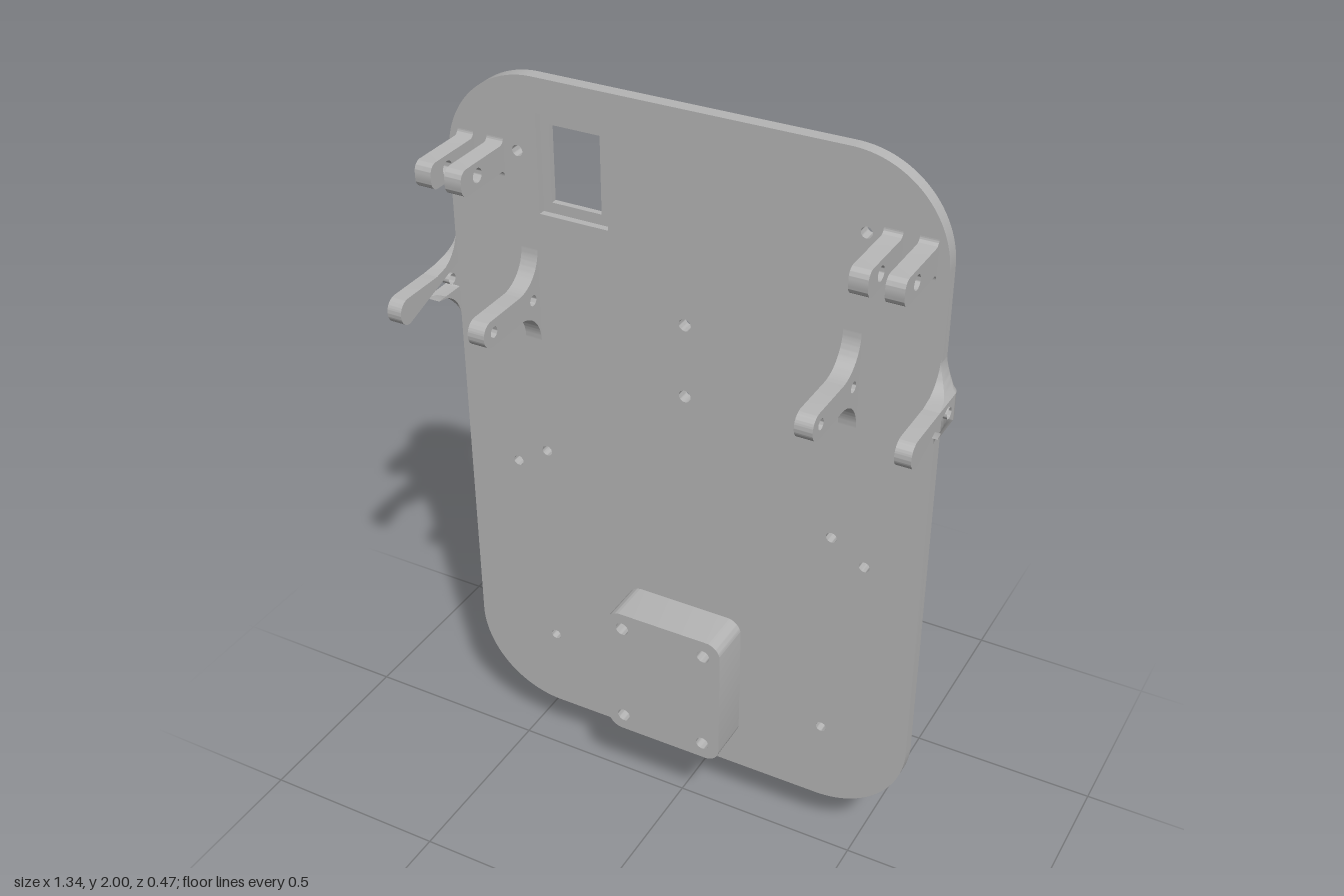
import * as THREE from 'three';
import { toCreasedNormals } from 'three/addons/utils/BufferGeometryUtils.js';

const BACK = -0.046, FRONT = -0.012, ARM_Y = 1.44, ARM_H = 0.034, FILLET = 0.09;

export function createModel() {
  const group = new THREE.Group();
  const grey = new THREE.MeshStandardMaterial({ color: 0xb4b4b4, side: THREE.DoubleSide });
  grey.name = 'plain grey';

  const add = (name, geometry) => {
    const mesh = new THREE.Mesh(toCreasedNormals(geometry, 0.6), grey);
    mesh.name = name;
    group.add(mesh);
    return mesh;
  };
  const circle = (x, y, r) => new THREE.Path().absarc(x, y, r, 0, Math.PI * 2, true);
  const rect = (x0, y0, x1, y1) => new THREE.Path([[x0, y0], [x0, y1], [x1, y1], [x1, y0], [x0, y0]]
    .map(p => new THREE.Vector2(...p)));
  const roundedRect = (x0, y0, x1, y1, r) => new THREE.Shape()
    .absarc(x1 - r, y0 + r, r, -Math.PI / 2, 0)
    .absarc(x1 - r, y1 - r, r, 0, Math.PI / 2)
    .absarc(x0 + r, y1 - r, r, Math.PI / 2, Math.PI)
    .absarc(x0 + r, y0 + r, r, Math.PI, Math.PI * 1.5);
  const extrude = (shape, depth) =>
    new THREE.ExtrudeGeometry(shape, { depth, bevelEnabled: false, curveSegments: 16 });

  // Skin between closed rings of points
  const loft = rings => {
    const n = rings[0].length, index = [];
    for (let i = 0; i < rings.length - 1; i++) for (let j = 0; j < n; j++) {
      const a = i * n + j, b = i * n + (j + 1) % n;
      index.push(a, a + n, b, b, a + n, b + n);
    }
    const g = new THREE.BufferGeometry().setFromPoints(rings.flat());
    g.setIndex(index);
    return g;
  };

  // Plate in two layers, so the window gets a recessed rim
  const plateLayer = (name, z0, z1, windowHole) => {
    const shape = roundedRect(-0.633, 0.155, 0.633, 2, 0.24);
    shape.holes.push(windowHole, circle(0, 1.465, 0.016), circle(0, 1.27, 0.016));
    for (const s of [-1, 1])
      for (const [x, y] of [[0.398, 0.99], [0.487, 0.933], [0.398, 0.388], [0.44, 1.81]])
        shape.holes.push(circle(s * x, y, 0.014));
    add(name, extrude(shape, z1 - z0).translate(0, 0, z0));
  };
  plateLayer('plateBack', BACK, -0.03, rect(-0.362, 1.688, -0.228, 1.884));
  plateLayer('plateFront', -0.03, FRONT, rect(-0.386, 1.661, -0.201, 1.913));

  // Mounting block with four blind holes
  const block = roundedRect(-0.166, 0.255, 0.163, 0.642, 0.04);
  for (const x of [-0.12, 0.115]) for (const y of [0.302, 0.595]) block.holes.push(circle(x, y, 0.018));
  add('mountingBlock', extrude(block, 0.105 - FRONT).translate(0, 0, FRONT));

  // Lug: side profile in z and y, with rounded tip and filleted root
  const lug = (name, x0, x1, y, h, tip, r, f, holes) => {
    const s = new THREE.Shape();
    if (f) s.absarc(FRONT + f, y - h - f, f, Math.PI, Math.PI / 2, true);
    else s.moveTo(FRONT, y - h);
    s.absarc(tip - r, y - h + r, r, -Math.PI / 2, 0);
    s.absarc(tip - r, y + h - r, r, 0, Math.PI / 2);
    if (f) s.absarc(FRONT + f, y + h + f, f, -Math.PI / 2, -Math.PI, true);
    else s.lineTo(FRONT, y + h);
    for (const [z, hr] of holes) s.holes.push(circle(z, y, hr));
    add(name, extrude(s, x1 - x0).rotateY(-Math.PI / 2).translate(x1, 0, 0));
  };

  // Root of the outer arm, wrapping the plate edge and flaring up and down
  const armRoot = (side, d0, d1, filleted) => {
    const rings = [];
    for (let i = 0; i <= 10; i++) {
      const d = d0 + (d1 - d0) * i / 10;
      const e = Math.max(Math.abs(d) - ARM_H, 0);
      const xo = 0.632 + 0.039 * Math.pow(Math.max(1 - e / 0.075, 0), 1.6);
      const zf = filleted ? FRONT + FILLET - Math.sqrt(FILLET ** 2 - (FILLET - e) ** 2) : FRONT;
      const r = Math.min(0.033, xo - 0.632);
      const ring = [[0.632, BACK]];
      for (let k = 0; k <= 6; k++) {
        const a = k / 6 * Math.PI / 2;
        ring.push([xo - r + r * Math.sin(a), BACK + r - r * Math.cos(a)]);
      }
      ring.push([xo, zf], [0.632, zf]);
      const points = ring.map(([x, z]) => new THREE.Vector3(side * x, ARM_Y + d, z));
      rings.push(side > 0 ? points : points.reverse());
    }
    add('outerArmRoot', loft(rings));
  };

  const armHoles = [[0.19, 0.014], [0.017, 0.014]];
  for (const s of [-1, 1]) {
    const span = (a, b) => s > 0 ? [a, b] : [-b, -a];
    for (const [a, b] of [[0.478, 0.523], [0.56, 0.604]])
      lug('upperLug', ...span(a, b), 1.785, 0.033, 0.167, 0.024, 0.015, [[0.1, 0.018]]);
    lug('innerArm', ...span(0.398, 0.443), ARM_Y, ARM_H, 0.233, 0.033, FILLET, armHoles);
    lug('outerArm', ...span(0.632, 0.671), ARM_Y, ARM_H, 0.233, 0.033, 0, armHoles);
    armRoot(s, -0.109, -ARM_H, true);
    armRoot(s, -ARM_H, ARM_H, false);
    armRoot(s, ARM_H, 0.109, true);
  }

  // Hollow peg near the top of the back, with a flared foot
  const lathe = points => new THREE.LatheGeometry(points.map(p => new THREE.Vector2(...p)), 32);
  const foot = [];
  for (let i = 0; i <= 8; i++) {
    const a = i / 8 * Math.PI / 2;
    foot.push([0.068 - 0.04 * Math.sin(a), 0.04 - 0.04 * Math.cos(a)]);
  }
  add('backPeg', lathe([...foot, [0.028, 0.115], [0.018, 0.115], [0.018, 0.045], [0, 0.045]])
    .rotateX(-Math.PI / 2).translate(-0.006, 1.905, BACK));

  // Hollow spout sloping down from the bottom of the back
  const start = new THREE.Vector3(-0.012, 0.226, BACK);
  const dir = new THREE.Vector3(0, -0.78, -0.625).normalize();
  const R = 0.028, L = 0.266;
  const spout = add('spout', lathe([[0, 0], [R, 0], [R, L], [0.018, L], [0.018, 0.12], [0, 0.12]]));
  spout.quaternion.setFromUnitVectors(new THREE.Vector3(0, 1, 0), dir);
  spout.position.copy(start);

  // Fillet blending the spout into the plate
  const onSpout = (a, t) => start.clone().addScaledVector(dir, t)
    .add(new THREE.Vector3(R * Math.cos(a), 0.625 * R * Math.sin(a), -0.78 * R * Math.sin(a)));
  const curves = [];
  for (let j = 0; j < 32; j++) {
    const a = j / 32 * Math.PI * 2;
    const base = new THREE.Vector3(start.x + 0.05 * Math.cos(a), 0.22 + 0.06 * Math.sin(a), BACK);
    curves.push(new THREE.QuadraticBezierCurve3(base, onSpout(a, -1.248 * R * Math.sin(a)), onSpout(a, 0.07)));
  }
  const rings = [];
  for (let i = 0; i <= 8; i++) rings.push(curves.map(c => c.getPoint(i / 8)));
  add('spoutFillet', loft(rings));

  return group;
}
